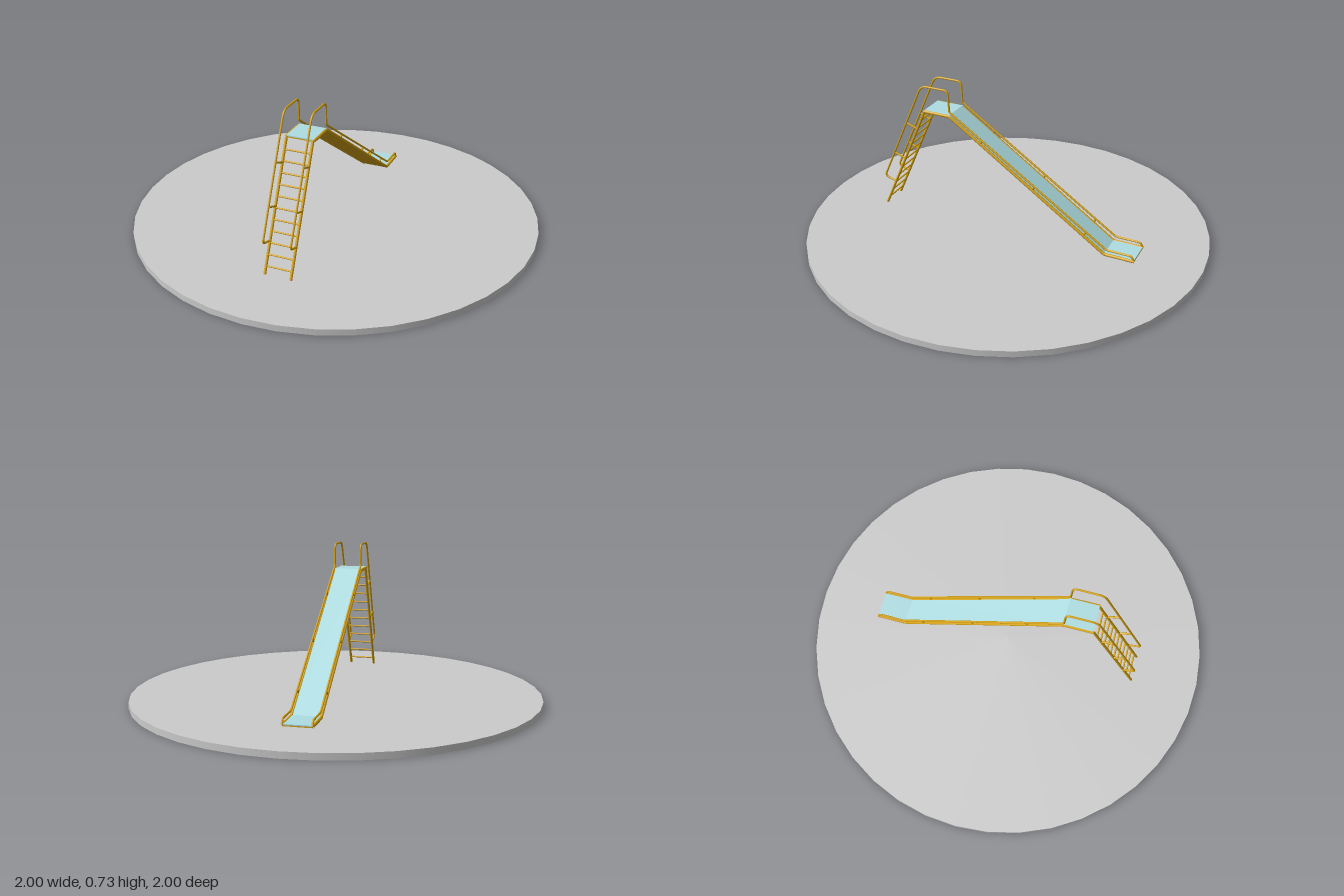
import * as THREE from 'three';

const grey = new THREE.MeshStandardMaterial({ color: 0xcccccc });
const gold = new THREE.MeshStandardMaterial({ color: 0xd6a312 });
const blue = new THREE.MeshStandardMaterial({ color: 0xaedde2 });
const CX = 0.005; // slide centreline

const v = (x, y, z) => new THREE.Vector3(x, y, z);

function add(parent, name, geometry, material) {
  const mesh = new THREE.Mesh(geometry, material);
  mesh.name = name;
  parent.add(mesh);
  return mesh;
}

// Straight round bar between two points
function bar(parent, name, a, b, radius) {
  const mesh = add(parent, name, new THREE.CylinderGeometry(radius, radius, a.distanceTo(b), 10), gold);
  mesh.position.copy(a).lerp(b, 0.5);
  mesh.quaternion.setFromUnitVectors(v(0, 1, 0), b.clone().sub(a).normalize());
}

// Path of straight runs with rounded corners; each point is [z, y, corner radius]
function bentPath(x, points) {
  const path = new THREE.CurvePath();
  const p = points.map(([z, y]) => v(x, y, z));
  let last = p[0];
  for (let i = 1; i < p.length - 1; i++) {
    const r = points[i][2];
    const start = p[i].clone().add(p[i - 1].clone().sub(p[i]).setLength(r));
    const end = p[i].clone().add(p[i + 1].clone().sub(p[i]).setLength(r));
    path.add(new THREE.LineCurve3(last, start));
    path.add(new THREE.QuadraticBezierCurve3(start, p[i], end));
    last = end;
  }
  path.add(new THREE.LineCurve3(last, p[p.length - 1]));
  return path;
}

// Sheet extruded across the width from a [z, y] outline
function sheet(parent, name, outline, width, material) {
  const shape = new THREE.Shape(outline.map(([z, y]) => new THREE.Vector2(-z, y)));
  const geometry = new THREE.ExtrudeGeometry(shape, { depth: width, bevelEnabled: false });
  geometry.rotateY(Math.PI / 2);
  geometry.translate(CX - width / 2, 0, 0);
  add(parent, name, geometry, material);
}

export function createModel() {
  const model = new THREE.Group();
  model.name = 'playgroundSlide';

  // Round ground slab
  const base = add(model, 'base', new THREE.CylinderGeometry(1, 1, 0.03, 40), grey);
  base.position.y = 0.015;

  // Chute: coloured sliding surface over a metal backing
  const chute = new THREE.Group();
  chute.name = 'chute';
  model.add(chute);
  const bed = [[0.42, 0.6], [0.28, 0.6], [-0.54, 0.043], [-0.688, 0.043]];
  const layer = (top, bottom) => [
    ...bed.map(([z, y]) => [z, y + top]),
    ...bed.slice().reverse().map(([z, y]) => [z, y + bottom]),
  ];
  sheet(chute, 'slideSurface', layer(0.004, -0.001), 0.136, blue);
  sheet(chute, 'slideBacking', layer(-0.001, -0.006), 0.136, gold);

  // Ladder
  const ladder = new THREE.Group();
  ladder.name = 'ladder';
  model.add(ladder);
  const foot = [0.67, 0.03], head = [0.418, 0.6];
  const onLadder = (x, y) => {
    const t = (y - foot[1]) / (head[1] - foot[1]);
    return v(x, y, foot[0] + (head[0] - foot[0]) * t);
  };
  for (let i = 0; i < 11; i++) {
    const y = 0.066 + i * 0.048;
    bar(ladder, 'rung', onLadder(CX - 0.064, y), onLadder(CX + 0.064, y), 0.004);
  }

  for (const side of [-1, 1]) {
    const x = CX + side * 0.064;
    const railX = CX + side * 0.067;

    // Ladder side rail
    bar(ladder, 'ladderRail', onLadder(x, foot[1]), onLadder(x, head[1]), 0.0065);

    // Frame tube under the chute edge
    const frame = bentPath(railX, [
      [0.422, 0.597], [0.28, 0.597, 0.006], [-0.54, 0.042, 0.006], [-0.688, 0.042],
    ]);
    add(chute, 'chuteFrame', new THREE.TubeGeometry(frame, 120, 0.0075, 8), gold);

    // Continuous handrail: ladder, top hoop, then along the chute
    const rail = bentPath(railX, [
      [0.609, 0.169], [0.672, 0.187, 0.022], [0.432, 0.729, 0.035], [0.285, 0.729, 0.025],
      [0.28, 0.62, 0.008], [-0.55, 0.068, 0.012], [-0.675, 0.068, 0.012], [-0.688, 0.043],
    ]);
    add(model, 'handrail', new THREE.TubeGeometry(rail, 360, 0.005, 8), gold);

    // Handrail stays on the ladder
    for (const y of [0.312, 0.492]) {
      const a = onLadder(x, y);
      bar(model, 'ladderStay', a, v(railX, y + 0.022, a.z + 0.056), 0.005);
    }

    // Short posts between chute frame and handrail
    for (const z of [0.115, -0.16, -0.43]) {
      const y = 0.597 - (0.28 - z) * 0.677;
      bar(chute, 'railPost', v(railX, y, z), v(railX, y + 0.019, z - 0.012), 0.005);
    }
  }
  return model;
}
